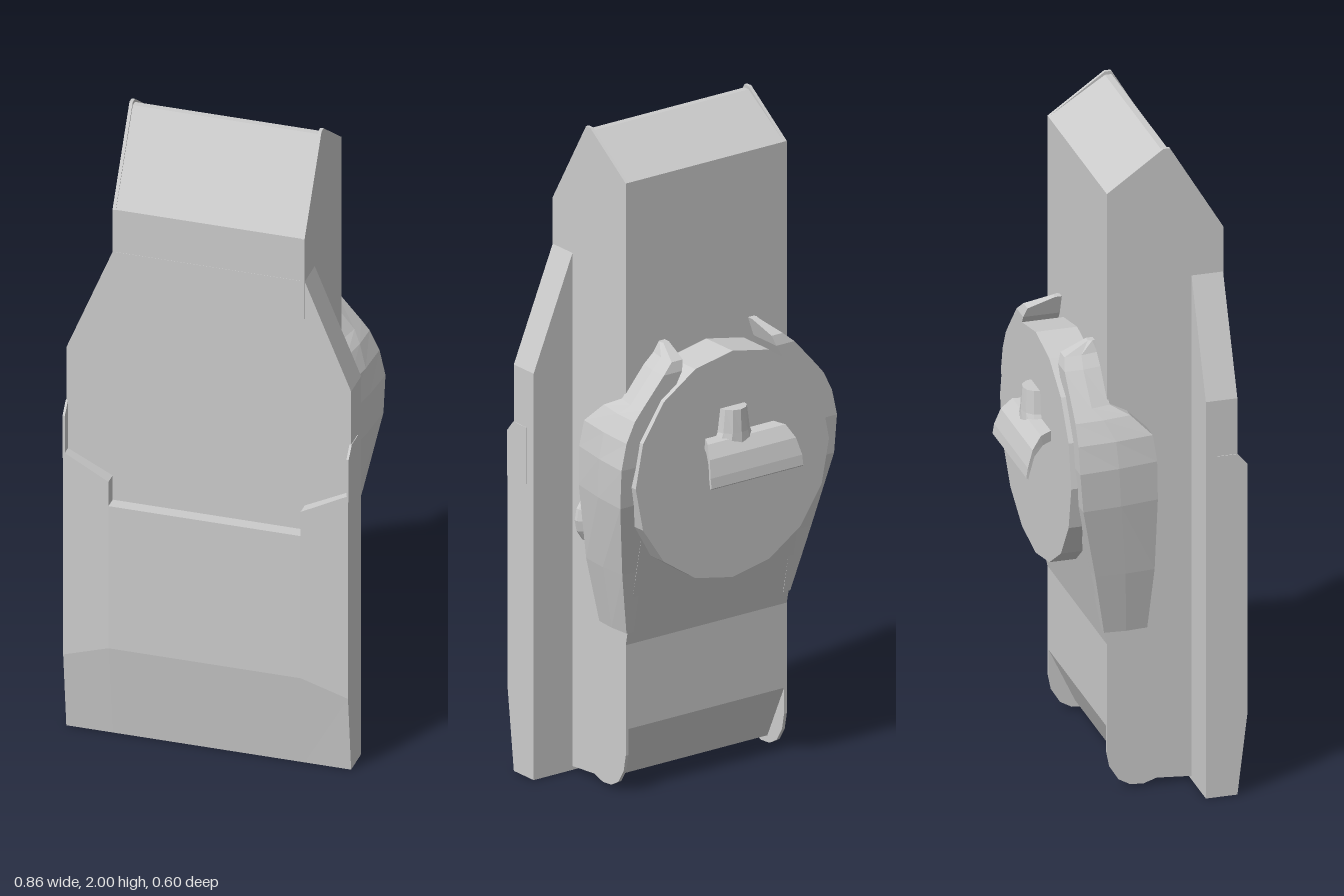
import * as THREE from 'three';

const grey = new THREE.MeshStandardMaterial({ color: 0xcccccc, flatShading: true });

// Solid through equal-sized convex cross-sections, with end caps, faces turned outward
function loft(sections) {
  const n = sections[0].length, tris = [];
  const last = sections.length - 1;
  for (let s = 0; s < last; s++) {
    for (let i = 0; i < n; i++) {
      const j = (i + 1) % n;
      const a = sections[s][i], b = sections[s][j], c = sections[s + 1][j], d = sections[s + 1][i];
      tris.push([a, b, c], [a, c, d]);
    }
  }
  for (let i = 1; i < n - 1; i++) {
    tris.push([sections[0][0], sections[0][i + 1], sections[0][i]]);
    tris.push([sections[last][0], sections[last][i], sections[last][i + 1]]);
  }
  let volume = 0;
  const v = (p) => new THREE.Vector3(...p);
  for (const [a, b, c] of tris) volume += v(a).dot(v(b).cross(v(c)));
  const points = tris.flatMap(([a, b, c]) => (volume > 0 ? [a, b, c] : [a, c, b])).flat();
  const geo = new THREE.BufferGeometry();
  geo.setAttribute('position', new THREE.Float32BufferAttribute(points, 3));
  geo.computeVertexNormals();
  return geo;
}

const shapeOf = (pts) => new THREE.Shape(pts.map(([x, y]) => new THREE.Vector2(x, y)));

// Extrude a [z, y] side profile from x0 to x1
function sideExtrude(profile, x0, x1) {
  const geo = new THREE.ExtrudeGeometry(shapeOf(profile.map(([z, y]) => [-z, y])), {
    depth: x1 - x0, bevelEnabled: false,
  });
  return geo.rotateY(Math.PI / 2).translate(x0, 0, 0);
}

export function createModel() {
  const group = new THREE.Group();
  const add = (name, geo) => {
    const mesh = new THREE.Mesh(geo, grey);
    mesh.name = name;
    group.add(mesh);
    return mesh;
  };

  // Central body with a peaked top and a chamfered lower back
  const upper = [[0.25, 0.005], [0.26, 1.73], [0.1, 1.99], [0.08, 1.99], [-0.09, 1.88]];
  add('body', sideExtrude([...upper, [-0.09, 0.2], [-0.01, 0.03]], -0.28, 0.28));

  // Thin side cheeks, rounded at the lower back
  const cheek = [[0.25, 0.005], [0.262, 1.73], [0.1, 2], [0.08, 2], [-0.09, 1.88],
    [-0.09, 0.12], [-0.08, 0.07], [-0.055, 0.03], [-0.02, 0.01], [0.02, 0.007], [0.06, 0.02]];
  add('leftCheek', sideExtrude(cheek, 0.28, 0.29));
  add('rightCheek', sideExtrude(cheek, -0.29, -0.28));

  // Wide front plate with sloping shoulders
  const plate = [[-0.43, 0], [0.43, 0], [0.43, 1.25], [0.29, 1.59], [-0.29, 1.59], [-0.43, 1.25]];
  add('frontPlate', new THREE.ExtrudeGeometry(shapeOf(plate), { depth: 0.095, bevelEnabled: false })
    .translate(0, 0, 0.165));

  // Raised lower cover: centre panel and two wings stepping up to the sides
  const coverSection = (x, bend, top, z) => [
    [x, 0, 0.25], [x, 0, 0.26], [x, bend, z], [x, top, z], [x, top, 0.25]];
  add('coverCentre', loft([coverSection(-0.29, 0.3, 0.77, 0.3), coverSection(0.29, 0.3, 0.77, 0.3)]));
  for (const s of [1, -1]) {
    const side = s > 0 ? 'left' : 'right';
    add(side + 'CoverWing', loft([
      coverSection(s * 0.29, 0.3, 0.85, 0.3), coverSection(s * 0.43, 0.25, 0.92, 0.29)]));

    // Thin lip along the plate edge above the cover
    add(side + 'CoverLip', sideExtrude(
      [[0.2, 0.9], [0.29, 0.9], [0.29, 1.04], [0.26, 1.075], [0.2, 1.075]],
      s > 0 ? 0.425 : -0.432, s > 0 ? 0.432 : -0.425));

    // Shroud wrapping the body sides and the disc: y, front z, back z, front x, back x, inner x
    const rows = [
      [0.5, 0.03, -0.1, 0.295, 0.295, 0.27],
      [0.7, 0.04, -0.14, 0.335, 0.34, 0.27],
      [0.93, 0.042, -0.19, 0.36, 0.385, 0.27],
      [1.05, 0.04, -0.2, 0.36, 0.388, 0.27],
      [1.13, 0.03, -0.2, 0.35, 0.37, 0.26],
      [1.19, -0.03, -0.2, 0.325, 0.34, 0.24],
      [1.22, -0.085, -0.2, 0.3, 0.315, 0.22],
      [1.31, -0.088, -0.2, 0.225, 0.235, 0.17],
      [1.34, -0.088, -0.19, 0.19, 0.2, 0.16],
      [1.37, -0.088, -0.11, 0.17, 0.17, 0.15],
    ];
    add(side + 'Shroud', loft(rows.map(([y, zf, zb, xf, xb, xi]) => [
      [s * xi, y, zf], [s * xf, y, zf], [s * (xf + xb + 0.01) / 2, y, (zf + zb) / 2],
      [s * xb, y, zb], [s * xi, y, zb]])));
  }

  // Sloping wedge under the disc
  add('backWedge', sideExtrude([[-0.08, 0.46], [-0.08, 1.2], [-0.19, 1.1], [-0.19, 0.93], [-0.09, 0.46]],
    -0.29, 0.29));

  // Faceted round disc on the back
  add('backDisc', new THREE.CylinderGeometry(0.348, 0.348, 0.135, 16)
    .rotateX(Math.PI / 2).translate(0, 0.99, -0.1475));

  // Hook on the disc: rounded neck and a flared, down-curving lip
  const neckRow = (y, r, depth) => Array.from({ length: 7 }, (_, i) => {
    const a = (i / 6) * Math.PI;
    return [r * Math.cos(a), y, -0.21 - depth * Math.sin(a)];
  });
  add('hookNeck', loft([neckRow(1.17, 0.045, 0.045), neckRow(1.1, 0.055, 0.05), neckRow(1.04, 0.085, 0.055)]));
  const lipRows = [[-0.21, 1.09, 1.06, 0.12], [-0.25, 1.085, 1.055, 0.14],
    [-0.28, 1.05, 1.03, 0.155], [-0.297, 1.0, 0.985, 0.165], [-0.302, 0.97, 0.965, 0.165]];
  add('hookLip', loft(lipRows.map(([z, top, bottom, w]) => [
    [-0.025 - w, top, z], [-0.025 + w, top, z], [-0.025 + w, bottom, z + 0.006], [-0.025 - w, bottom, z + 0.006]])));

  // Flared knob peeking out of the left side
  const knob = [[0, 0], [0.09, 0], [0.095, 0.02], [0.07, 0.028], [0.068, 0.035], [0.09, 0.065], [0.09, 0.075], [0, 0.075]];
  add('sideKnob', new THREE.LatheGeometry(knob.map(([r, h]) => new THREE.Vector2(r, h)), 16)
    .rotateX(Math.PI / 2).translate(0.23, 0.79, 0.04));

  return group;
}
